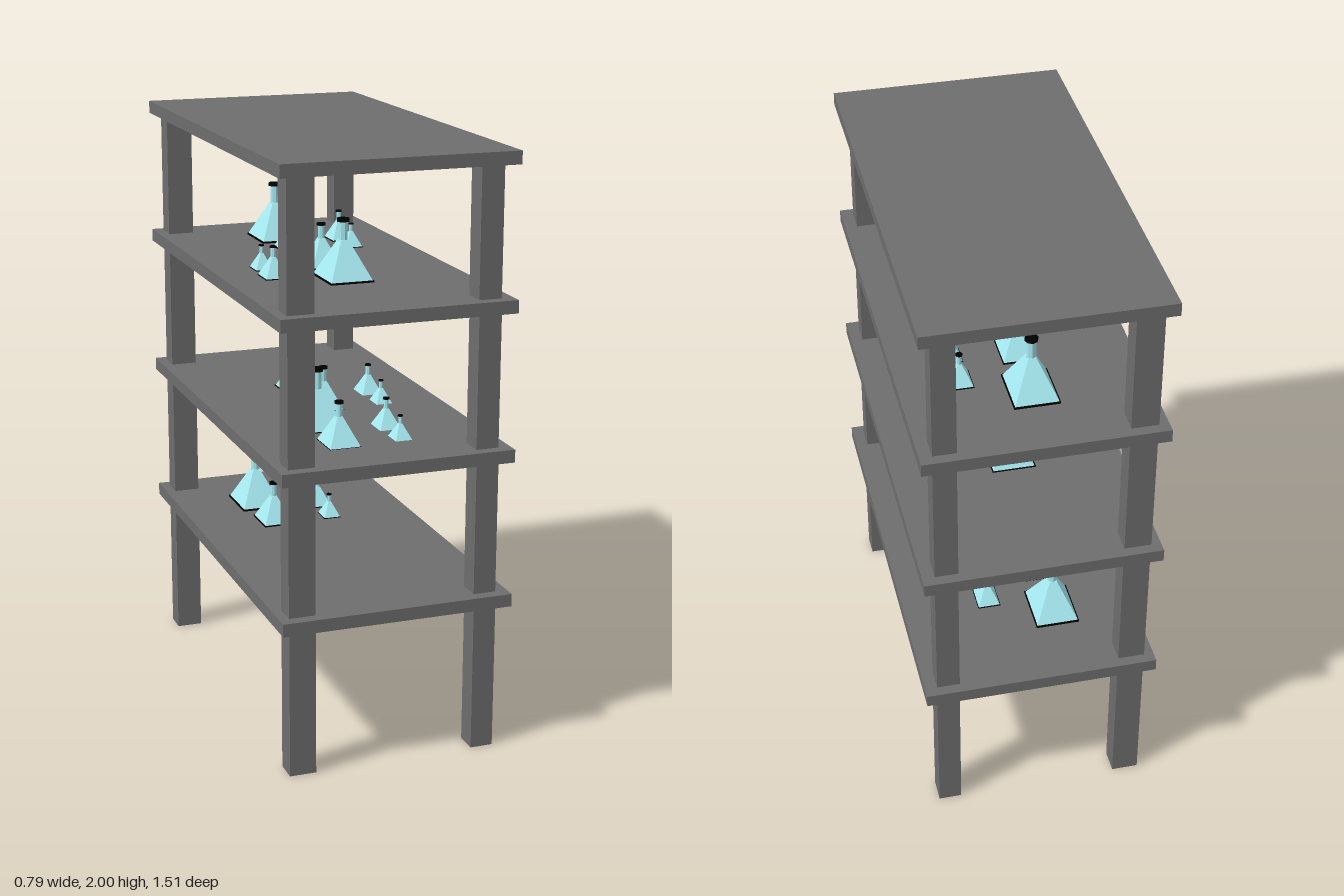
import * as THREE from 'three';

const grey = new THREE.MeshStandardMaterial({ color: 0x6e6e6e, flatShading: true });
const glass = new THREE.MeshStandardMaterial({ color: 0xa8ecf4, flatShading: true });
const black = new THREE.MeshStandardMaterial({ color: 0x000000, flatShading: true });

function add(parent, name, geometry, material, x, y, z) {
  const mesh = new THREE.Mesh(geometry, material);
  mesh.name = name;
  mesh.position.set(x, y, z);
  parent.add(mesh);
  return mesh;
}

// Flask parts, shared by all sizes; full height is 0.2
const bodyGeometry = new THREE.CylinderGeometry(0.016 * Math.SQRT2, 0.0925 * Math.SQRT2, 0.13, 4)
  .rotateY(Math.PI / 4).scale(0.8, 1, 1);
const neckGeometry = new THREE.CylinderGeometry(0.016, 0.016, 0.07, 8);
const capGeometry = new THREE.CylinderGeometry(0.022, 0.022, 0.011, 8);
const baseGeometry = new THREE.BoxGeometry(0.15, 0.008, 0.187);

function createFlask(size) {
  const flask = new THREE.Group();
  flask.name = 'flask';
  add(flask, 'flaskBody', bodyGeometry, glass, 0, 0.065, 0);
  add(flask, 'flaskNeck', neckGeometry, glass, 0, 0.16, 0);
  add(flask, 'flaskCap', capGeometry, black, 0, 0.195, 0);
  add(flask, 'flaskBase', baseGeometry, black, 0, 0.002, 0);
  flask.scale.setScalar(size);
  return flask;
}

// Four flasks of falling size: [scale, x, z]
const layout = [[1, 0, 0], [0.725, 0, 0.215], [0.52, 0.21, 0.095], [0.41, 0.207, 0.23]];

function createFlaskSet(x, y, z, turn) {
  const set = new THREE.Group();
  set.name = 'flaskSet';
  for (const [size, fx, fz] of layout) {
    const flask = createFlask(size);
    flask.position.set(fx, 0, fz);
    set.add(flask);
  }
  set.position.set(x, y, z);
  set.rotation.y = turn;
  return set;
}

export function createModel() {
  const model = new THREE.Group();
  model.name = 'flaskShelf';

  // Shelves and the leg sections below them, each tier set slightly further back
  const tops = [0.547, 1.04, 1.53, 2];
  const thickness = 0.043;
  const shelfGeometry = new THREE.BoxGeometry(0.787, thickness, 1.497);
  tops.forEach((top, i) => {
    const shift = 0.0095 - 0.0037 * i;
    add(model, 'shelf', shelfGeometry, grey, -0.002, top - thickness / 2, shift);
    const bottom = i ? tops[i - 1] : 0;
    const height = top - thickness - bottom;
    for (const [x, width] of [[-0.318, 0.09], [0.312, 0.077]]) {
      for (const side of [-1, 1]) {
        add(model, 'leg', new THREE.BoxGeometry(width, height, 0.079), grey,
          x, bottom + height / 2, side * 0.671 + shift + 0.002);
      }
    }
  });

  // Flask sets
  model.add(createFlaskSet(-0.115, 0.547, -0.405, 0));
  model.add(createFlaskSet(-0.115, 1.036, 0.28, 0));
  model.add(createFlaskSet(-0.02, 1.036, -0.14, 0));
  model.add(createFlaskSet(-0.02, 1.53, -0.445, 0));
  model.add(createFlaskSet(-0.02, 1.53, 0.27, Math.PI));
  return model;
}
